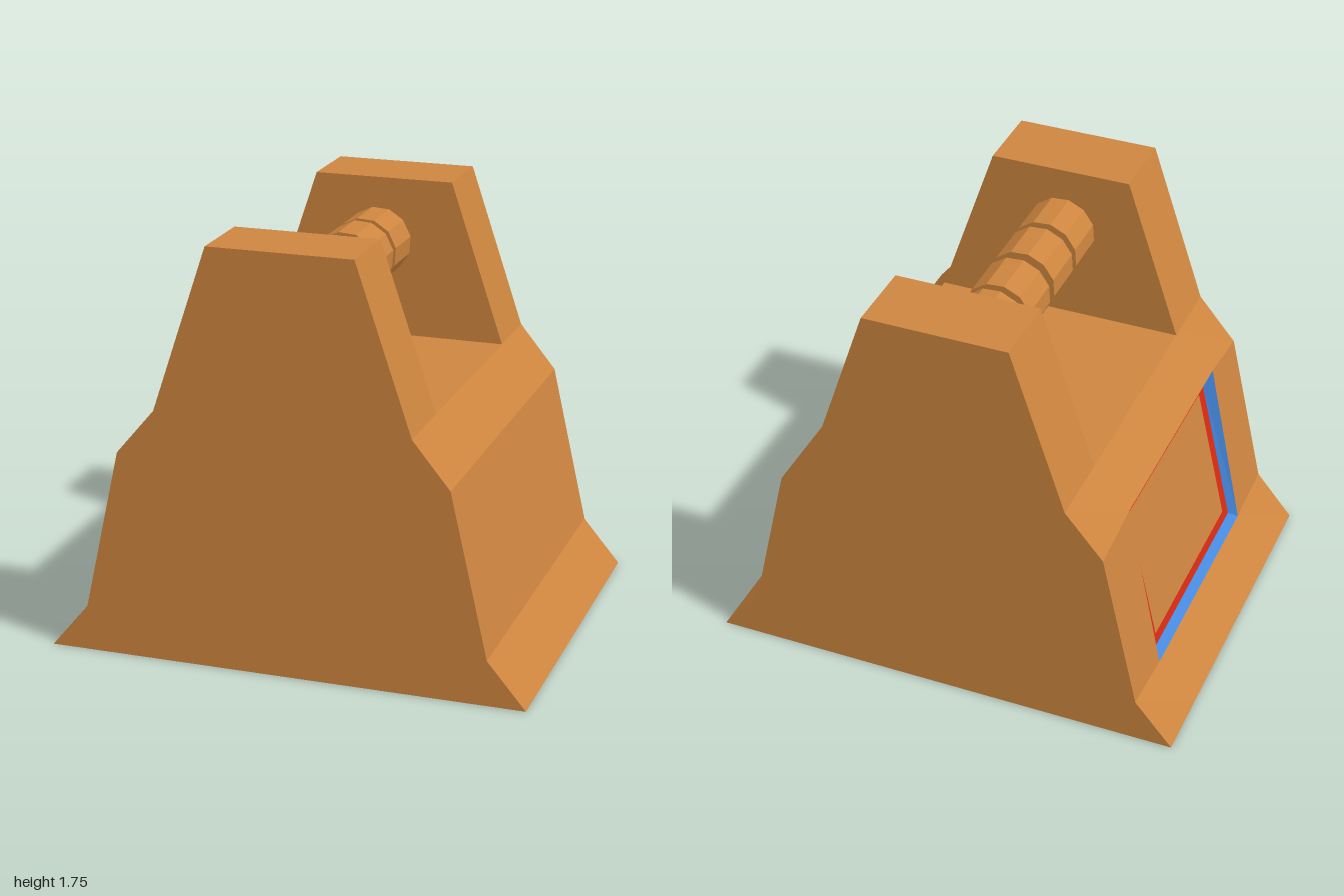
import * as THREE from 'three';

const wood = new THREE.MeshStandardMaterial({ color: 0xcd853f, flatShading: true });
const red = new THREE.MeshStandardMaterial({ color: 0xd92a12, flatShading: true });
const blue = new THREE.MeshStandardMaterial({ color: 0x4488dd, flatShading: true });

// Geometry from four-cornered faces, corners counter-clockwise from outside
function quads(faces) {
  const pos = [];
  for (const [a, b, c, d] of faces) pos.push(...a, ...b, ...c, ...a, ...c, ...d);
  const geo = new THREE.BufferGeometry();
  geo.setAttribute('position', new THREE.Float32BufferAttribute(pos, 3));
  geo.computeVertexNormals();
  return geo;
}

function add(parent, name, geo, mat) {
  const mesh = new THREE.Mesh(geo, mat);
  mesh.name = name;
  parent.add(mesh);
  return mesh;
}

// Lower body cross-section; the window stretches the right-hand corners
function section(z, topY, lowY) {
  return [
    [-1, 0], [1, 0], [0.84, 0.19], [0.685, 0.87],
    [0.53, 1.06], [-0.53, 1.06], [-0.69, topY], [-0.842, lowY],
  ].map(([x, y]) => [x, y, z]);
}

function bodyGeometry() {
  const rings = [
    section(-0.8, 0.87, 0.19), section(-0.51, 0.905, 0.165),
    section(0.51, 0.905, 0.165), section(0.8, 0.87, 0.19),
  ];
  const faces = [];
  for (let r = 0; r < 3; r++) {
    for (let i = 0; i < 8; i++) {
      if (r === 1 && i === 6) continue; // window opening
      const j = (i + 1) % 8;
      faces.push([rings[r][i], rings[r][j], rings[r + 1][j], rings[r + 1][i]]);
    }
  }
  // End faces in three slices
  for (const [a, b, c, d] of [[0, 1, 2, 7], [7, 2, 3, 6], [6, 3, 4, 5]]) {
    const f = rings[3], k = rings[0];
    faces.push([f[a], f[b], f[c], f[d]], [k[d], k[c], k[b], k[a]]);
  }
  return quads(faces);
}

// Rectangle on the sloping right side, counter-clockwise from outside
function pane(topX, topY, lowX, lowY, z) {
  return [[lowX, lowY, -z], [lowX, lowY, z], [topX, topY, z], [topX, topY, -z]];
}

// Band of faces joining two panes
function band(outer, inner) {
  return quads(outer.map((p, i) => {
    const j = (i + 1) % 4;
    return [p, outer[j], inner[j], inner[i]];
  }));
}

export function createModel() {
  const model = new THREE.Group();
  model.name = 'numberReelStand';

  add(model, 'body', bodyGeometry(), wood);

  // Recessed window: blue reveal, red border, wooden panel
  const opening = pane(-0.69, 0.905, -0.842, 0.165, 0.51);
  const recess = pane(-0.65, 0.87, -0.804, 0.19, 0.485);
  const panel = pane(-0.66, 0.825, -0.794, 0.235, 0.43);
  const win = new THREE.Group();
  win.name = 'window';
  add(win, 'windowReveal', band(opening, recess), blue);
  add(win, 'windowBorder', band(recess, panel), red);
  add(win, 'windowPanel', quads([panel]), wood);
  model.add(win);

  // Upright cheeks at front and back
  const cheek = new THREE.Shape([[-0.53, 1.06], [0.53, 1.06], [0.3, 1.745], [-0.3, 1.745]]
    .map(([x, y]) => new THREE.Vector2(x, y)));
  const cheekGeo = new THREE.ExtrudeGeometry(cheek, { depth: 0.315, bevelEnabled: false });
  add(model, 'frontCheek', cheekGeo, wood).position.z = 0.485;
  add(model, 'backCheek', cheekGeo, wood).position.z = -0.8;

  // Axle and four twelve-sided reels
  const axle = new THREE.CylinderGeometry(0.037, 0.037, 0.98, 16, 1, true).rotateX(Math.PI / 2);
  add(model, 'axle', axle, wood).position.set(-0.002, 1.482, 0);
  const reel = new THREE.CylinderGeometry(0.145, 0.145, 0.205, 12, 1, false, THREE.MathUtils.degToRad(11))
    .rotateX(Math.PI / 2);
  [0.368, 0.127, -0.123, -0.363].forEach((z, i) => {
    add(model, `reel${i + 1}`, reel, wood).position.set(-0.016, 1.476, z);
  });
  return model;
}
